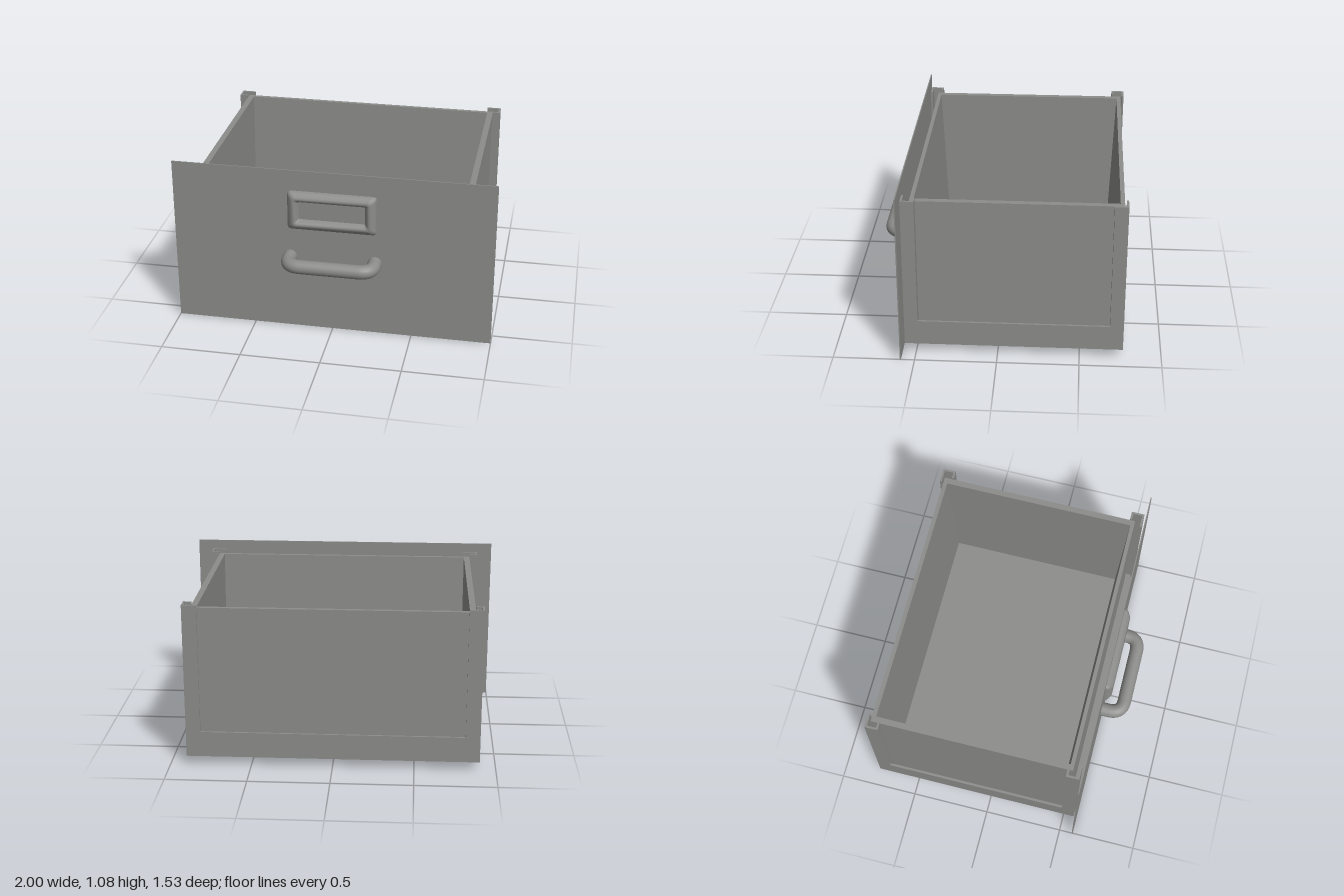
import * as THREE from 'three';

const steel = new THREE.MeshStandardMaterial({ color: 0x8c8c8a });
steel.name = 'grey steel';

// Outer limits of the supporting frame
const X = 0.9, BACK = -0.765, FRONT = 0.57, BASE = 0.055, T = 0.013;
const MID = (BACK + FRONT) / 2;

function add(parent, name, geometry) {
  const mesh = new THREE.Mesh(geometry, steel);
  mesh.name = name;
  parent.add(mesh);
  return mesh;
}

// Box given by its limits on each axis
function block(parent, name, x0, x1, y0, y1, z0, z1) {
  const mesh = add(parent, name, new THREE.BoxGeometry(Math.abs(x1 - x0), y1 - y0, Math.abs(z1 - z0)));
  mesh.position.set((x0 + x1) / 2, (y0 + y1) / 2, (z0 + z1) / 2);
  return mesh;
}

// End wall whose inside leans inwards towards the floor
function endWall(parent, name, zOut, zTop, zFloor) {
  const shape = new THREE.Shape([
    new THREE.Vector2(zOut, 0.07), new THREE.Vector2(zFloor, 0.07),
    new THREE.Vector2(zTop, 1.005), new THREE.Vector2(zOut, 1.005),
  ]);
  const g = new THREE.ExtrudeGeometry(shape, { depth: 1.64, bevelEnabled: false });
  g.translate(0, 0, -0.82);
  g.rotateY(-Math.PI / 2);
  return add(parent, name, g);
}

// Outline of a rounded rectangle, counter-clockwise
function roundedRing(w, h, r, n = 4) {
  const pts = [];
  [[1, 1], [-1, 1], [-1, -1], [1, -1]].forEach(([sx, sy], q) => {
    for (let i = 0; i <= n; i++) {
      const a = (q + i / n) * Math.PI / 2;
      pts.push([sx * (w - r) + r * Math.cos(a), sy * (h - r) + r * Math.sin(a)]);
    }
  });
  return pts;
}

// Surface lofted through rounded rectangles [halfWidth, halfHeight, z, radius]
function loftRings(rings) {
  const pos = [], index = [];
  let n = 0;
  rings.forEach(([w, h, z, r]) => {
    const ring = roundedRing(w, h, r);
    n = ring.length;
    ring.forEach(([x, y]) => pos.push(x, y, z));
  });
  for (let k = 0; k < rings.length - 1; k++) {
    for (let i = 0; i < n; i++) {
      const a = k * n + i, b = k * n + (i + 1) % n;
      index.push(a, b, b + n, a, b + n, a + n);
    }
  }
  const g = new THREE.BufferGeometry();
  g.setAttribute('position', new THREE.Float32BufferAttribute(pos, 3));
  g.setIndex(index);
  g.computeVertexNormals();
  return g;
}

export function createModel() {
  const model = new THREE.Group();
  model.name = 'drawer';

  // Front plate
  block(model, 'frontPlate', -1, 1, 0, 1.08, 0.583, 0.59);

  // Inner tray: two sides, leaning ends and a floor
  const tray = new THREE.Group();
  tray.name = 'tray';
  model.add(tray);
  for (const s of [-1, 1]) block(tray, 'sideWall', s * 0.813, s * 0.85, 0.07, 1.005, -0.743, 0.521);
  endWall(tray, 'backWall', -0.743, -0.717, -0.68);
  endWall(tray, 'frontWall', 0.521, 0.497, 0.455);
  block(tray, 'floor', -0.85, 0.85, 0.068, 0.1, -0.743, 0.521);

  // Frame: bottom rim and flange
  const frame = new THREE.Group();
  frame.name = 'frame';
  model.add(frame);
  for (const s of [-1, 1]) block(frame, 'sideRim', s * (X - T), s * X, BASE, 0.215, BACK, FRONT);
  block(frame, 'backRim', -X, X, BASE, 0.215, BACK, BACK + T);
  block(frame, 'frontRim', -X, X, BASE, 0.215, FRONT - T, FRONT);
  const rect = (P, x, z) => new P([
    new THREE.Vector2(-x, -z), new THREE.Vector2(x, -z), new THREE.Vector2(x, z), new THREE.Vector2(-x, z)]);
  const half = (FRONT - BACK) / 2;
  const flange = rect(THREE.Shape, X, half);
  flange.holes.push(rect(THREE.Path, X - 0.07, half - 0.075));
  const flangeGeo = new THREE.ExtrudeGeometry(flange, { depth: T, bevelEnabled: false });
  flangeGeo.rotateX(-Math.PI / 2);
  add(frame, 'bottomFlange', flangeGeo).position.set(0, BASE, MID);

  // Corner posts of folded sheet
  for (const s of [-1, 1]) {
    for (const [z, d] of [[BACK, 1], [FRONT, -1]]) {
      const post = new THREE.Group();
      post.name = 'cornerPost';
      frame.add(post);
      block(post, 'postSide', s * (X - T), s * X, BASE, 1.025, z, z + d * 0.083);
      block(post, 'postEnd', s * (X - 0.09), s * X, BASE, 1.025, z, z + d * T);
      block(post, 'postLip', s * 0.85, s * X, BASE, 1.025, z + d * 0.07, z + d * 0.083);
    }
  }

  // Label holder with a rounded frame and recessed card plate
  const holder = new THREE.Group();
  holder.name = 'labelHolder';
  holder.position.y = 0.82;
  model.add(holder);
  add(holder, 'holderFrame', loftRings([
    [0.276, 0.127, 0.588, 0.022], [0.275, 0.126, 0.603, 0.022], [0.264, 0.116, 0.617, 0.022],
    [0.248, 0.1, 0.629, 0.02], [0.236, 0.088, 0.634, 0.018], [0.225, 0.076, 0.63, 0.014],
    [0.214, 0.066, 0.618, 0.01], [0.204, 0.058, 0.598, 0.006],
  ]));
  block(holder, 'cardPlate', -0.21, 0.21, -0.064, 0.064, 0.592, 0.599);

  // Pull handle
  const path = new THREE.CurvePath();
  const v = (x, z) => new THREE.Vector3(x, 0.495, z);
  path.add(new THREE.LineCurve3(v(-0.266, 0.585), v(-0.266, 0.635)));
  path.add(new THREE.QuadraticBezierCurve3(v(-0.266, 0.635), v(-0.266, 0.72), v(-0.18, 0.72)));
  path.add(new THREE.LineCurve3(v(-0.18, 0.72), v(0.18, 0.72)));
  path.add(new THREE.QuadraticBezierCurve3(v(0.18, 0.72), v(0.266, 0.72), v(0.266, 0.635)));
  path.add(new THREE.LineCurve3(v(0.266, 0.635), v(0.266, 0.585)));
  add(model, 'handle', new THREE.TubeGeometry(path, 72, 0.044, 20));

  return model;
}
